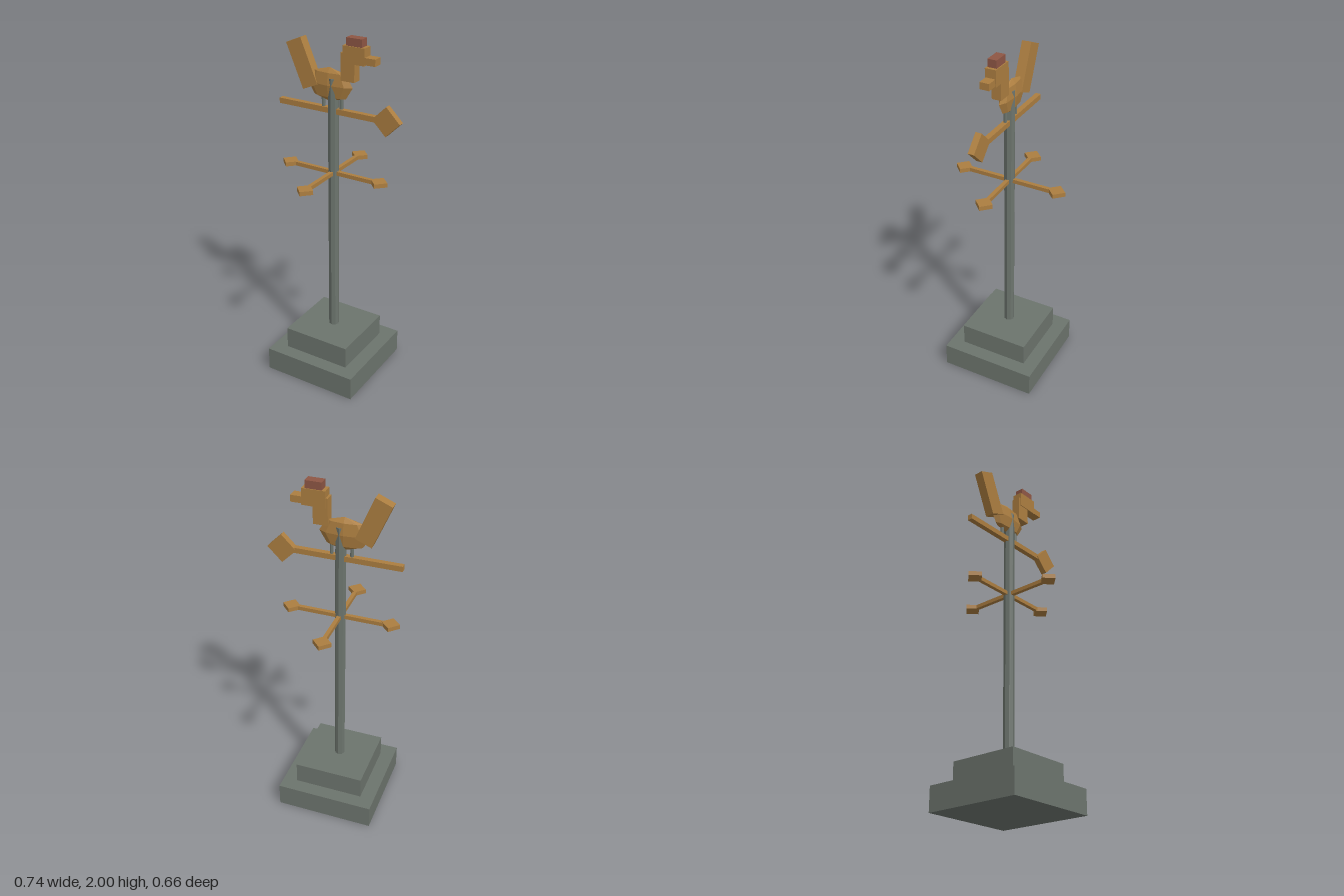
import * as THREE from 'three';

const mat = (name, color) => {
  const m = new THREE.MeshStandardMaterial({ color, flatShading: true });
  m.name = name;
  return m;
};

export function createModel() {
  const stone = mat('grey stone', 0x6c746d);
  const wood = mat('golden wood', 0xac7e40);
  const red = mat('dull red', 0x8e5644);
  const model = new THREE.Group();
  model.name = 'weatherVane';
  const cx = -0.034; // pole axis

  const add = (parent, name, geometry, material, x, y, z = 0) => {
    const mesh = new THREE.Mesh(geometry, material);
    mesh.name = name;
    mesh.position.set(x, y, z);
    parent.add(mesh);
    return mesh;
  };
  // box given by its x and y limits and its depth
  const block = (parent, name, material, x0, x1, y0, y1, depth) =>
    add(parent, name, new THREE.BoxGeometry(x1 - x0, y1 - y0, depth), material,
      (x0 + x1) / 2, (y0 + y1) / 2);

  // stepped base and pole
  block(model, 'baseStep', stone, cx - 0.282, cx + 0.282, 0, 0.138, 0.562);
  block(model, 'upperStep', stone, cx - 0.2, cx + 0.2, 0.138, 0.266, 0.402);
  add(model, 'pole', new THREE.CylinderGeometry(0.03, 0.03, 1.505, 8), stone, cx, 1.0185);

  // four compass arms with diamond ends
  for (let i = 0; i < 4; i++) {
    const arm = new THREE.Group();
    arm.name = 'compassArm';
    arm.position.set(cx, 1.241, 0);
    arm.rotation.y = i * Math.PI / 2;
    add(arm, 'armBar', new THREE.BoxGeometry(0.26, 0.022, 0.022), wood, 0.13, 0);
    const end = add(arm, 'armDiamond', new THREE.BoxGeometry(0.072, 0.024, 0.072), wood, 0.281, 0);
    end.rotation.y = Math.PI / 4;
    model.add(arm);
  }

  // wind arrow
  const arrow = new THREE.Group();
  arrow.name = 'windArrow';
  model.add(arrow);
  block(arrow, 'arrowShaft', wood, -0.368, 0.25, 1.58, 1.61, 0.03);
  const tip = add(arrow, 'arrowTip', new THREE.BoxGeometry(0.114, 0.114, 0.035), wood, 0.287, 1.595);
  tip.rotation.z = Math.PI / 4;

  // rooster
  const rooster = new THREE.Group();
  rooster.name = 'rooster';
  model.add(rooster);
  for (const x of [-0.095, 0.015])
    add(rooster, 'leg', new THREE.CylinderGeometry(0.01, 0.01, 0.1, 8), stone, x, 1.65);
  const body = add(rooster, 'body', new THREE.SphereGeometry(1, 8, 4), wood, -0.055, 1.733);
  body.scale.set(0.137, 0.092, 0.031);
  const tail = add(rooster, 'tail', new THREE.BoxGeometry(0.097, 0.257, 0.053), wood, -0.2115, 1.8265);
  tail.rotation.z = 0.403;
  block(rooster, 'neck', wood, 0.026, 0.106, 1.772, 1.92, 0.053);
  block(rooster, 'head', wood, 0.038, 0.165, 1.868, 1.958, 0.06);
  block(rooster, 'beak', wood, 0.13, 0.225, 1.874, 1.911, 0.053);
  block(rooster, 'comb', red, 0.057, 0.147, 1.956, 2.0, 0.05);

  return model;
}
